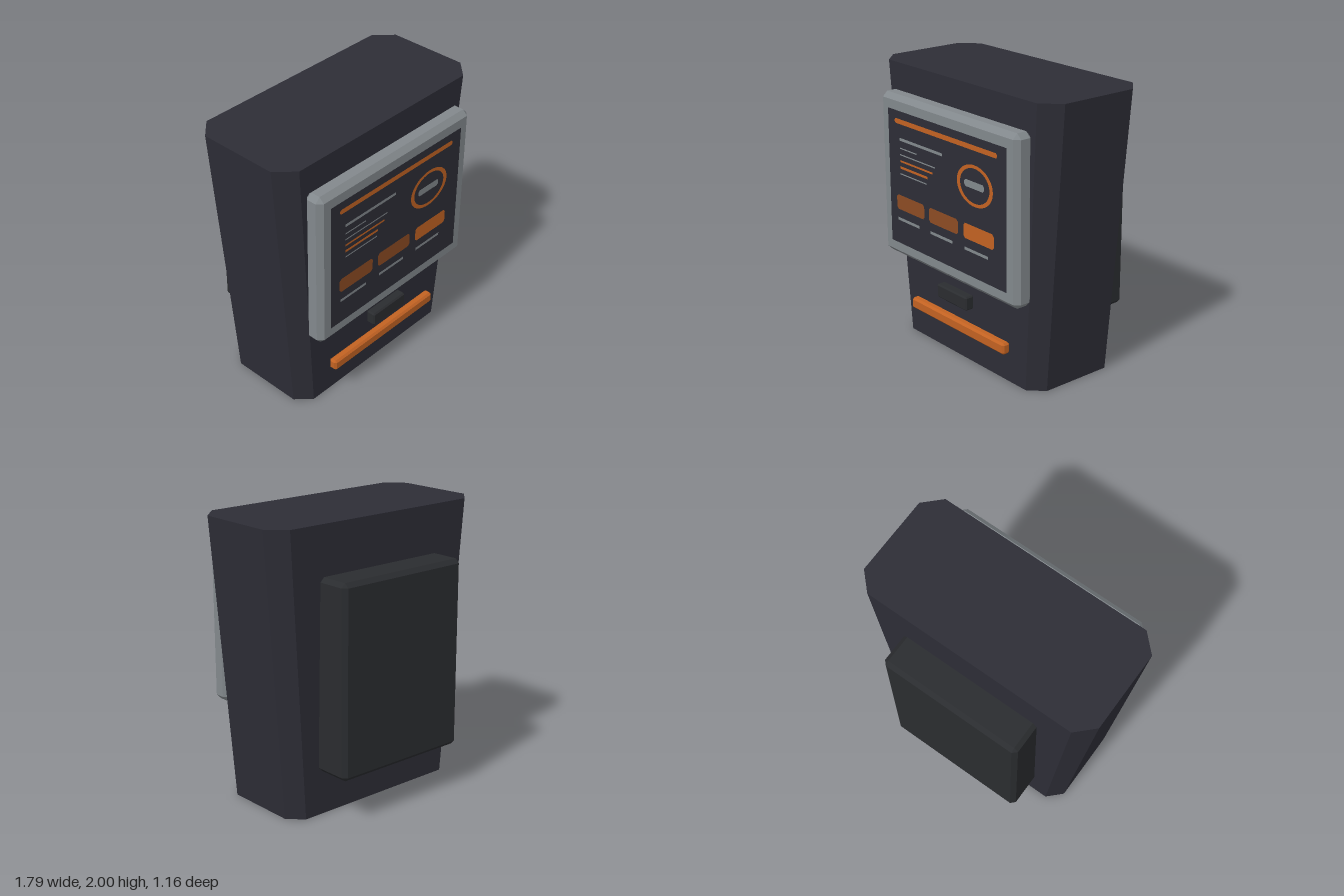
import * as THREE from 'three';
import { ConvexGeometry } from 'three/addons/geometries/ConvexGeometry.js';

const mat = (name, color) => {
  const m = new THREE.MeshStandardMaterial({ color });
  m.name = name;
  return m;
};

export function createModel() {
  const group = new THREE.Group();
  const shell = mat('charcoal', 0x2d2d36);
  const trim = mat('dark grey', 0x2a2c2f);
  const steel = mat('grey', 0x82888c);
  const orange = mat('orange', 0xc26222);
  const rust = mat('dark orange', 0x8c4b23);

  const add = (name, geometry, material, z = 0) => {
    const mesh = new THREE.Mesh(geometry, material);
    mesh.name = name;
    mesh.position.z = z;
    group.add(mesh);
    return mesh;
  };

  // Octagonal outline at one height: half width, back, front and corner cut
  const octagon = (y, w, back, front, cut) => [
    [w, front - cut], [w - cut, front], [cut - w, front], [-w, front - cut],
    [-w, back + cut], [cut - w, back], [w - cut, back], [w, back + cut],
  ].map(([x, z]) => new THREE.Vector3(x, y, z));

  // Box with every edge and corner chamfered by b
  const chamferBox = (x0, x1, y0, y1, z0, z1, b) => {
    const c = [(x0 + x1) / 2, (y0 + y1) / 2, (z0 + z1) / 2];
    const h = [(x1 - x0) / 2, (y1 - y0) / 2, (z1 - z0) / 2];
    const points = [];
    for (const sx of [-1, 1]) for (const sy of [-1, 1]) for (const sz of [-1, 1]) {
      for (let face = 0; face < 3; face++) {
        const p = [sx, sy, sz].map((s, i) => c[i] + s * (h[i] - (i === face ? 0 : b)));
        points.push(new THREE.Vector3(...p));
      }
    }
    return new ConvexGeometry(points);
  };

  // Flat plate with optional cut corners
  const plate = (name, x0, x1, y0, y1, material, cut = 0, z = 0.578) => {
    const pts = cut
      ? [[x0 + cut, y0], [x1 - cut, y0], [x1, y0 + cut], [x1, y1 - cut],
        [x1 - cut, y1], [x0 + cut, y1], [x0, y1 - cut], [x0, y0 + cut]]
      : [[x0, y0], [x1, y0], [x1, y1], [x0, y1]];
    const shape = new THREE.Shape(pts.map(([x, y]) => new THREE.Vector2(x, y)));
    return add(name, new THREE.ShapeGeometry(shape), material, z);
  };

  // Tapered cabinet and its attached blocks
  add('cabinet', new ConvexGeometry([
    ...octagon(0, 0.735, -0.315, 0.415, 0.1),
    ...octagon(2, 0.895, -0.36, 0.455, 0.12),
  ]), shell);
  add('backHousing', chamferBox(-0.527, 0.527, 0.315, 1.655, -0.583, -0.27, 0.03), trim);
  add('screenFrame', chamferBox(-0.725, 0.725, 0.645, 1.81, 0.43, 0.573, 0.036), steel);
  add('slot', chamferBox(-0.162, 0.162, 0.445, 0.545, 0.47, 0.54, 0.01), trim);
  add('lightBar', chamferBox(-0.512, 0.512, 0.235, 0.317, 0.445, 0.507, 0.014), orange);

  // Screen and header
  plate('screen', -0.63, 0.63, 0.745, 1.71, shell, 0, 0.5755);
  plate('headerBar', -0.552, 0.545, 1.62, 1.655, orange, 0.012);
  plate('titleLine', -0.5, -0.025, 1.502, 1.523, steel);

  // Rows of thin lines: right end, centre height, thickness, material
  [[-0.31, 1.449, 0.009, steel], [-0.1, 1.403, 0.009, steel], [-0.13, 1.357, 0.014, orange],
    [-0.19, 1.311, 0.018, orange], [-0.2, 1.265, 0.009, steel]]
    .forEach(([x1, y, t, m]) => plate('textLine', -0.5, x1, y - t / 2, y + t / 2, m));

  // Oval dial with a pill in the middle
  const ring = new THREE.Shape().absellipse(0.317, 1.383, 0.184, 0.141, 0, Math.PI * 2);
  ring.holes.push(new THREE.Path().absellipse(0.317, 1.383, 0.15, 0.118, 0, Math.PI * 2, true));
  add('dialRing', new THREE.ShapeGeometry(ring, 24), orange, 0.578);
  plate('dialPill', 0.21, 0.412, 1.362, 1.411, steel, 0.012);

  // Three buttons with captions
  [[-0.552, -0.235, rust], [-0.182, 0.136, rust], [0.195, 0.508, orange]].forEach(([x0, x1, m], i) => {
    plate('screenButton', x0, x1, 1.0, 1.107, m, 0.016);
    const left = -0.542 + i * 0.373;
    plate('buttonCaption', left, left + 0.246, 0.918, 0.939, steel);
  });

  return group;
}
